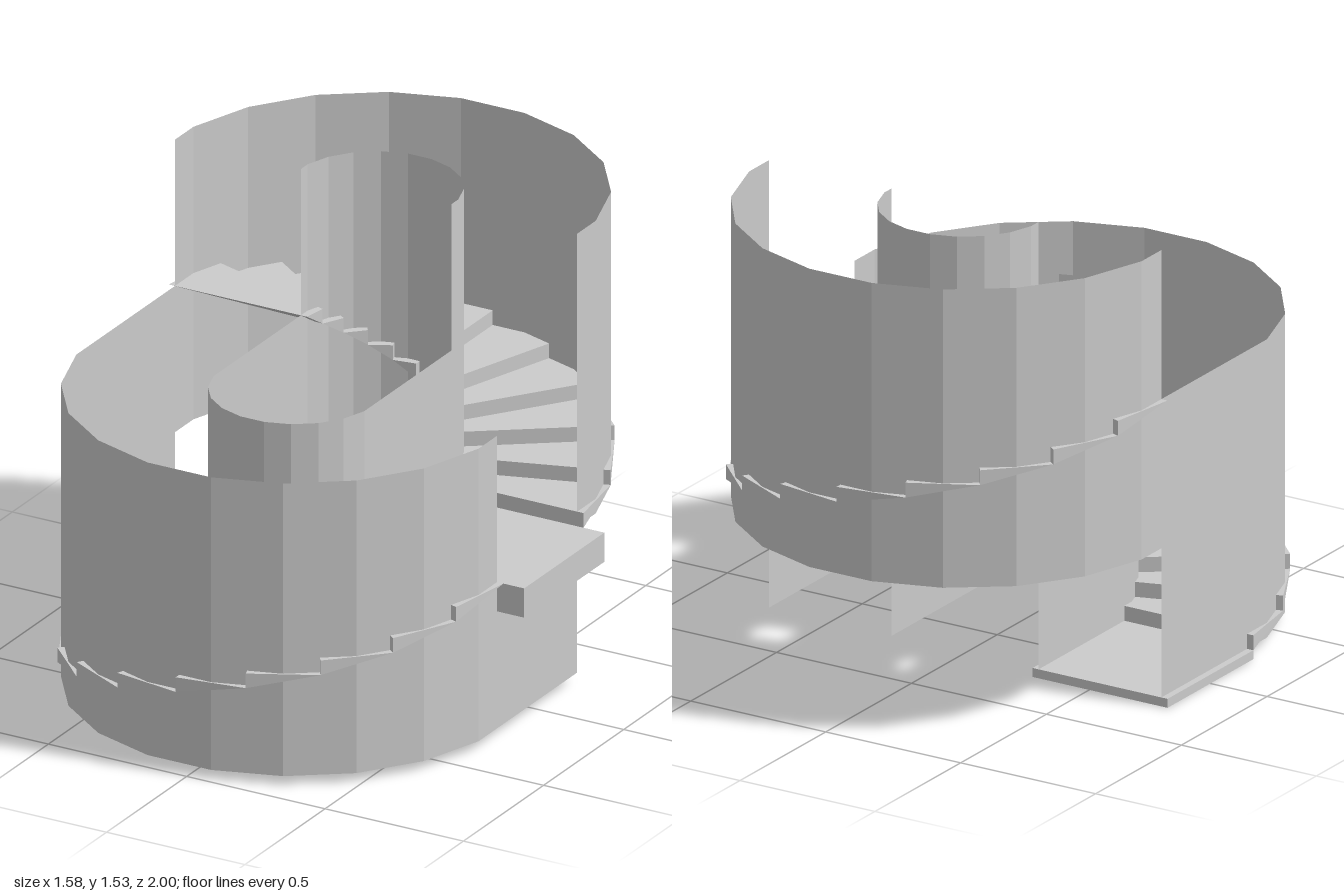
import * as THREE from 'three';

const CX = -0.04;        // stair axis in x
const HALF = 0.25;       // half length of the straight middle part
const BASE = 0.03, RISE = 0.05, STEPS = 10;
const TURN = Math.PI / STEPS;
const IN = 0.25, OUT = 0.75;            // tread radii
const WALL_IN = 0.272, WALL_OUT = 0.727; // parapet radii

const material = new THREE.MeshStandardMaterial({ color: 0xcccccc, flatShading: true });
const sheet = new THREE.MeshStandardMaterial({ color: 0xcccccc, flatShading: true, side: THREE.DoubleSide });

// Flat-faced geometry from triangles and quads given as lists of [x, y, z]
function facesGeometry(faces) {
  const pos = [];
  for (const f of faces) {
    for (let i = 1; i < f.length - 1; i++) pos.push(...f[0], ...f[i], ...f[i + 1]);
  }
  const g = new THREE.BufferGeometry();
  g.setAttribute('position', new THREE.Float32BufferAttribute(pos, 3));
  g.computeVertexNormals();
  return g;
}

function addMesh(parent, name, geometry, mat = material) {
  const mesh = new THREE.Mesh(geometry, mat);
  mesh.name = name;
  parent.add(mesh);
  return mesh;
}

// Plan points of a half circle from -x to +x; side is 1 at the front, -1 at the back
function arc(radius, side) {
  const angles = [0];
  for (let i = 0; i < STEPS; i++) angles.push((i + 0.5) * TURN);
  angles.push(Math.PI);
  return angles.map((a, i) => {
    const r = i === 0 || i === STEPS + 1 ? radius : radius / Math.cos(TURN / 2);
    return [CX - r * Math.cos(a), side * (HALF + r * Math.sin(a))];
  });
}

// Thin upright wall following plan points
function wall(points, y0, y1) {
  const faces = [];
  for (let i = 0; i < points.length - 1; i++) {
    const [ax, az] = points[i], [bx, bz] = points[i + 1];
    faces.push([[ax, y0, az], [bx, y0, bz], [bx, y1, bz], [ax, y1, az]]);
  }
  return facesGeometry(faces);
}

// Wedge step: flat tread, upright riser and sloping underside
function step(a0, zc, y0) {
  const a1 = a0 - TURN, y1 = y0 + RISE;
  const p = (r, a, y) => [CX + r * Math.cos(a), y, zc + r * Math.sin(a)];
  const A = p(IN, a0, y0), B = p(OUT, a0, y0), C = p(IN, a0, y1), D = p(OUT, a0, y1);
  const E = p(IN, a1, y1), F = p(OUT, a1, y1);
  return facesGeometry([[C, D, F, E], [A, B, D, C], [A, E, F, B], [B, F, D], [A, C, E]]);
}

function flight(name, startAngle, zc, y0) {
  const g = new THREE.Group();
  g.name = name;
  for (let i = 0; i < STEPS; i++) {
    addMesh(g, 'step' + (i + 1), step(startAngle - i * TURN, zc, y0 + i * RISE));
  }
  return g;
}

function slab(x0, x1, y0, y1) {
  const g = new THREE.BoxGeometry(x1 - x0, y1 - y0, 2 * HALF);
  g.translate((x0 + x1) / 2, (y0 + y1) / 2, 0);
  return g;
}

export function createModel() {
  const model = new THREE.Group();
  model.name = 'spiralStaircase';
  const middle = BASE + STEPS * RISE;
  const wallHeight = 1;

  // Two curved flights
  model.add(flight('lowerFlight', Math.PI, HALF, BASE));
  model.add(flight('upperFlight', 0, -HALF, middle));

  // Landings; the entry slab is open on its inner edge
  const entry = slab(CX - OUT, CX - IN, 0, BASE);
  entry.setIndex(Array.from(entry.index.array).slice(6));
  entry.clearGroups();
  addMesh(model, 'entryLanding', entry);
  addMesh(model, 'middleLanding', slab(0.237, 0.785, middle - 0.1, middle));

  // Lower walls: front curve plus the straight sides
  const innerFront = arc(WALL_IN, 1), outerFront = arc(WALL_OUT, 1);
  const leftEnd = (r) => [CX + r, -HALF], rightEnd = (r) => [CX - r, -HALF];
  addMesh(model, 'lowerInnerWall',
    wall([rightEnd(WALL_IN), ...innerFront, leftEnd(WALL_IN)], BASE, BASE + wallHeight), sheet);
  addMesh(model, 'lowerOuterWall',
    wall([rightEnd(WALL_OUT), ...outerFront], BASE, BASE + wallHeight), sheet);
  // Low wall below the middle landing, which leaves the doorway open
  addMesh(model, 'landingWall',
    wall([[CX + WALL_OUT, HALF], leftEnd(WALL_OUT)], BASE, middle - 0.1), sheet);

  // Upper walls around the back curve
  addMesh(model, 'upperInnerWall', wall(arc(WALL_IN, -1), middle, middle + wallHeight), sheet);
  addMesh(model, 'upperOuterWall', wall(arc(WALL_OUT, -1), middle, middle + wallHeight), sheet);

  return model;
}
